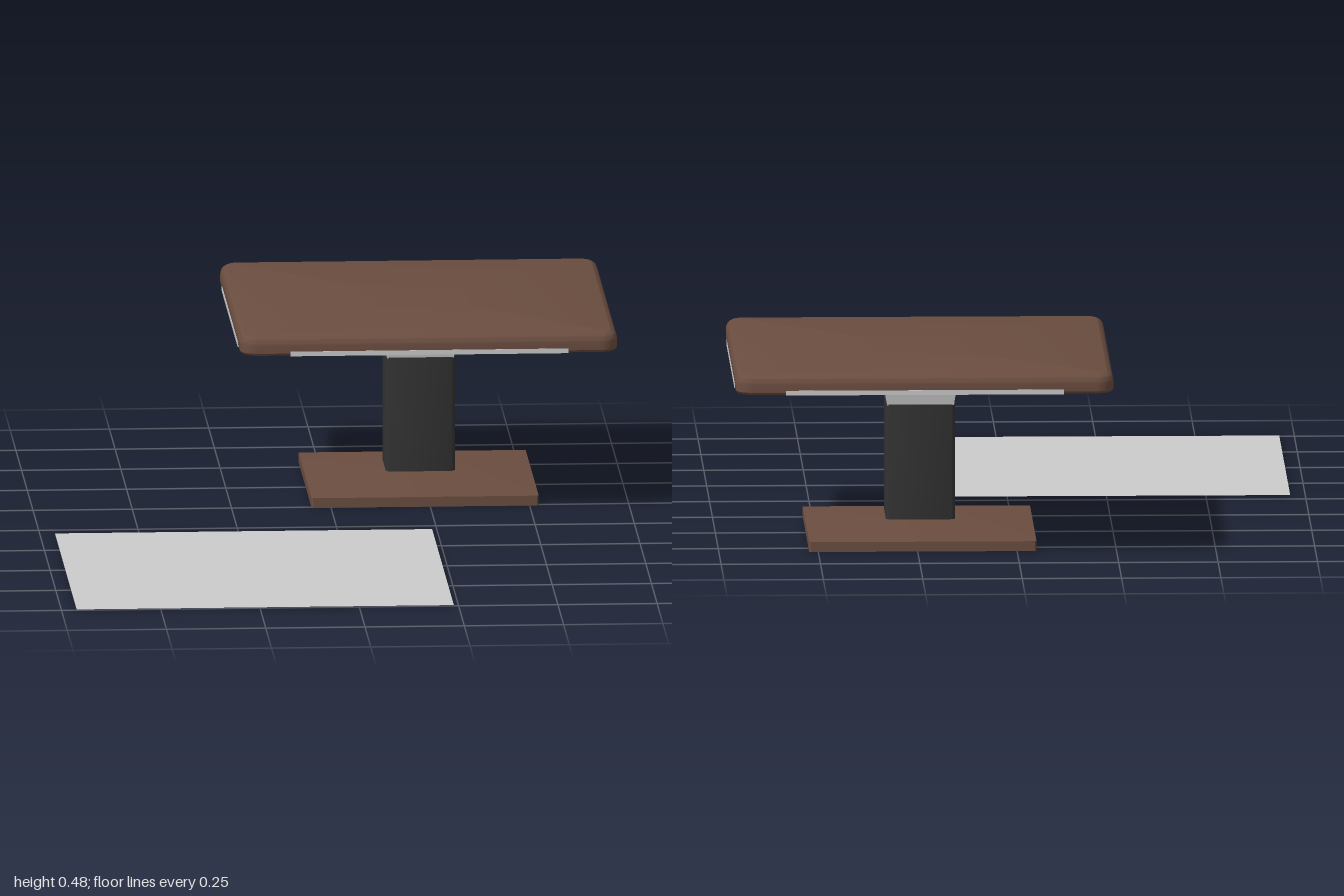
import * as THREE from 'three';
import { toCreasedNormals } from 'three/addons/utils/BufferGeometryUtils.js';

const brown = new THREE.MeshStandardMaterial({ color: 0x6b4d40 });
const black = new THREE.MeshStandardMaterial({ color: 0x333333 });
const grey = new THREE.MeshStandardMaterial({ color: 0xcccccc });
const greySheet = new THREE.MeshStandardMaterial({ color: 0xcccccc, side: THREE.DoubleSide });

// Closed solid through rounded squares, bottom to top: [half width, corner radius, y]
function loft(sections, steps) {
  const first = sections[0], last = sections[sections.length - 1];
  const rings = [[0, 0, first[2]], ...sections, [0, 0, last[2]]];
  const count = 4 * (steps + 1);
  const points = [], index = [];
  for (const [half, radius, y] of rings) {
    for (let corner = 0; corner < 4; corner++) {
      const middle = Math.PI / 4 + corner * Math.PI / 2;
      const cx = Math.sign(Math.cos(middle)) * (half - radius);
      const cz = -Math.sign(Math.sin(middle)) * (half - radius);
      for (let s = 0; s <= steps; s++) {
        const a = (corner + (steps ? s / steps : 0.5)) * Math.PI / 2;
        points.push(cx + radius * Math.cos(a), y, cz - radius * Math.sin(a));
      }
    }
  }
  for (let j = 0; j < rings.length - 1; j++) {
    for (let i = 0; i < count; i++) {
      const a = j * count + i, b = j * count + (i + 1) % count;
      if (j > 0) index.push(a, b, b + count);
      if (j < rings.length - 2) index.push(a, b + count, a + count);
      else index.push(a, b, a + count);
      if (j === 0) index.push(b, b + count, a + count);
    }
  }
  const geometry = new THREE.BufferGeometry();
  geometry.setAttribute('position', new THREE.Float32BufferAttribute(points, 3));
  geometry.setIndex(index);
  return toCreasedNormals(geometry, 0.6);
}

function addPart(parent, name, geometry, material) {
  const mesh = new THREE.Mesh(geometry, material);
  mesh.name = name;
  parent.add(mesh);
  return mesh;
}

export function createModel() {
  const model = new THREE.Group();
  const table = new THREE.Group();
  table.name = 'table';
  table.position.set(0.237, 0, -0.525);
  model.add(table);

  // Square foot sloping up to the column
  addPart(table, 'base', loft([
    [0.286, 0.004, 0], [0.286, 0.004, 0.025], [0.088, 0.004, 0.05],
  ], 1), brown);

  // Pedestal and the flared neck under the top
  addPart(table, 'column', loft([[0.087, 0.015, 0.045], [0.087, 0.015, 0.342]], 4), black);
  addPart(table, 'neck', loft([[0.084, 0, 0.34], [0.098, 0, 0.432]], 0), grey);

  // Table top: soft upper edge, rounded corners
  const edge = [[0.47, 0.04, 0.43], [0.475, 0.045, 0.436]];
  for (let i = 0; i <= 6; i++) {
    const a = (i / 6) * Math.PI / 2;
    const inset = 0.024 * (1 - Math.cos(a));
    edge.push([0.475 - inset, 0.045 - inset, 0.456 + 0.024 * Math.sin(a)]);
  }
  addPart(table, 'tableTop', loft(edge, 6), brown);

  // A pale strip along the lower edge of every side
  for (let i = 0; i < 4; i++) {
    const strip = new THREE.BoxGeometry(0.7, 0.012, 0.022);
    strip.translate(0, 0.435, 0.465);
    addPart(table, 'edgeStrip', strip, grey).rotation.y = i * Math.PI / 2;
  }

  // Flat square sheet on the floor beside the table
  const sheet = new THREE.PlaneGeometry(0.95, 0.95);
  sheet.rotateX(-Math.PI / 2);
  addPart(model, 'floorSheet', sheet, greySheet).position.set(-0.237, 0.002, 0.525);

  return model;
}
